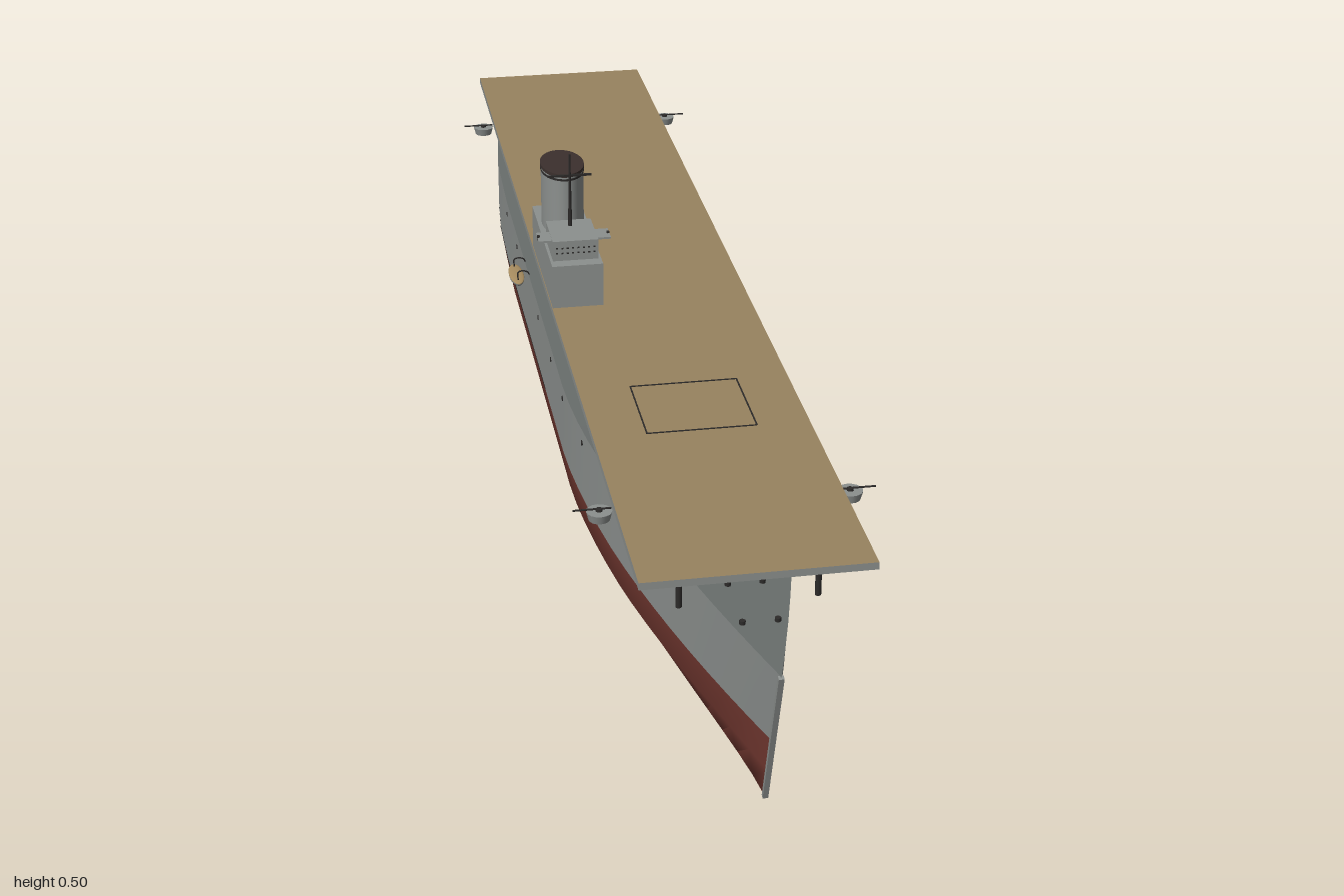
import * as THREE from 'three';
import { toCreasedNormals } from 'three/addons/utils/BufferGeometryUtils.js';

const mat = (name, color, side = THREE.FrontSide) => {
  const m = new THREE.MeshStandardMaterial({ color, side });
  m.name = name;
  return m;
};

export function createModel() {
  const grey = mat('hull grey', 0x8c908e);
  const deckGrey = mat('deck grey', 0x686d6b);
  const red = mat('hull red', 0x763a32);
  const wood = mat('deck wood', 0x98835f);
  const dark = mat('dark metal', 0x2c2a29);
  const funnelTop = mat('funnel soot', 0x3b302d);
  const boatTan = mat('boat tan', 0xa88d60);

  const ship = new THREE.Group();
  ship.name = 'ship';
  const add = (name, geo, m, x = 0, y = 0, z = 0, parent = ship) => {
    const mesh = new THREE.Mesh(geo, m);
    mesh.name = name;
    mesh.position.set(x, y, z);
    parent.add(mesh);
    return mesh;
  };
  // Box given by its extents
  const block = (name, m, x0, x1, y0, y1, z0, z1) =>
    add(name, new THREE.BoxGeometry(x1 - x0, y1 - y0, z1 - z0), m, (x0 + x1) / 2, (y0 + y1) / 2, (z0 + z1) / 2);

  // Surface through rows of points
  const loft = (rows, crease = 1) => {
    const n = rows[0].length, index = [];
    for (let i = 0; i < rows.length - 1; i++)
      for (let j = 0; j < n - 1; j++) {
        const a = i * n + j, c = a + n;
        index.push(a, a + 1, c, a + 1, c + 1, c);
      }
    const g = new THREE.BufferGeometry();
    g.setAttribute('position', new THREE.Float32BufferAttribute(rows.flat(2), 3));
    g.setIndex(index);
    return toCreasedNormals(g, crease);
  };

  // Hull form: fullness along the length and rise of the keel at the stern
  const fullness = (z) => {
    if (z > 0.2) return 1 - Math.pow((z - 0.2) / 0.8, 1.65);
    if (z < -0.5) return 1 - 0.39 * Math.pow((-0.5 - z) / 0.5, 2.3);
    return 1;
  };
  const keelRise = (z) => {
    if (z > -0.75) return 0;
    if (z > -0.87) return 0.05 * (-0.75 - z) / 0.12;
    return 0.05 + 0.035 * (-0.87 - z) / 0.13;
  };
  const topY = (z) => 0.215 + 0.008 * THREE.MathUtils.smoothstep(z, 0.3, 0.7);
  const point = (z, width, y, power = 1) => {
    const level = y < 0.105 ? keelRise(z) + y * (1 - keelRise(z) / 0.105) : y;
    const rake = Math.max(0, z - 0.5) * 0.14 * Math.max(0, 1 - y / 0.223);
    return [width * Math.pow(Math.max(0, fullness(z)), power), level, z - rake];
  };
  const flip = ([x, y, z]) => [-x, y, z];
  const stations = [-1, -0.97, -0.94, -0.87, -0.81, -0.75, -0.65, -0.5, -0.2, 0.2];
  for (let i = 1; i <= 14; i++) stations.push(0.2 + (0.8 * i) / 14);

  // Lower section from keel to waterline, then upper side
  const lower = (z) => [point(z, 0.105, 0.003, 1.3), point(z, 0.14, 0.05, 1.1), point(z, 0.149, 0.107)];
  const upper = (z) => [point(z, 0.149, 0.107), point(z, 0.149, topY(z))];
  const lowerRing = (z) => {
    const s = lower(z);
    return [...s.map(flip).reverse(), point(z, 0, 0), ...s];
  };
  const bottom = stations.map(lowerRing);
  add('lowerHull', loft(bottom, 1.1), red);
  add('hullSideLeft', loft(stations.map(upper)), grey);
  add('hullSideRight', loft(stations.map((z) => upper(z).map(flip).reverse())), grey);
  add('mainDeck', loft(stations.map((z) => [upper(z)[1], flip(upper(z)[1])])), deckGrey);

  // Flat transom
  const ring = [flip(upper(-1)[1]), ...lowerRing(-1), upper(-1)[1]];
  const tri = [];
  for (let j = 0; j < ring.length; j++) tri.push([0, 0.16, -1], ring[(j + 1) % ring.length], ring[j]);
  const transom = new THREE.BufferGeometry();
  transom.setAttribute('position', new THREE.Float32BufferAttribute(tri.flat(), 3));
  transom.computeVertexNormals();
  add('transom', transom, grey);

  // Raked stem bar
  const stem = add('stemBar', new THREE.BoxGeometry(0.007, 0.229, 0.006), grey, 0, 0.112, 0.964);
  stem.rotation.x = Math.atan2(0.07, 0.223);

  // Waterline stripe and portholes on both sides
  for (const s of [-1, 1]) {
    const rows = [-0.95, -0.85, -0.75, -0.65, -0.5, -0.2, 0].map((z) => {
      const row = [point(z, 0.1495, 0.107), point(z, 0.1495, 0.111)];
      return s > 0 ? row : row.map(flip).reverse();
    });
    add('waterlineStripe', loft(rows), dark);
    for (const z of [0.49, 0.34, 0.2, 0.07, -0.08, -0.36, -0.5]) {
      const p = add('porthole', new THREE.CylinderGeometry(0.004, 0.004, 0.002, 10), dark,
        s * 0.149 * fullness(z), 0.195, z);
      p.rotation.z = Math.PI / 2;
    }
  }

  // Hangar, flight deck and its posts
  block('hangar', grey, -0.125, 0.125, 0.21, 0.279, -0.79, 0.745);
  block('flightDeck', [grey, grey, wood, grey, grey, grey], -0.148, 0.148, 0.278, 0.288, -0.935, 0.872);
  for (const x of [-0.088, 0.088])
    for (const z of [-0.865, 0.812])
      add('deckPost', new THREE.CylinderGeometry(0.004, 0.004, 0.067, 10), dark, x, 0.2455, z);

  // Aircraft lift outline
  for (const s of [-1, 1]) {
    block('liftEdge', dark, s * 0.075 - 0.001, s * 0.075 + 0.001, 0.287, 0.289, 0.36, 0.5);
    block('liftEdge', dark, -0.075, 0.075, 0.287, 0.289, 0.429 + s * 0.07, 0.431 + s * 0.07);
  }

  // Island and bridge
  const ix = -0.109;
  block('islandBase', grey, -0.147, -0.071, 0.288, 0.355, -0.148, 0.088);
  block('bridge', grey, -0.143, -0.075, 0.355, 0.386, -0.012, 0.068);
  block('bridgeWing', grey, -0.163, -0.055, 0.382, 0.385, 0.027, 0.06);
  for (const s of [-1, 1]) block('wingLamp', dark, ix + s * 0.052 - 0.002, ix + s * 0.052 + 0.002, 0.38, 0.387, 0.04, 0.046);
  for (let i = 0; i < 8; i++)
    for (const y of [0.367, 0.375])
      block('bridgeWindow', dark, ix - 0.0295 + i * 0.008, ix - 0.0265 + i * 0.008, y - 0.001, y + 0.001, 0.067, 0.069);

  // Oval funnel with dark cap
  const oval = (name, m, r, y0, y1) => {
    const f = add(name, new THREE.CylinderGeometry(r, r, y1 - y0, 32), m, ix, (y0 + y1) / 2, -0.076);
    f.scale.z = 1.56;
  };
  oval('funnel', grey, 0.032, 0.355, 0.45);
  oval('funnelBand', dark, 0.0328, 0.443, 0.446);
  oval('funnelCap', funnelTop, 0.033, 0.449, 0.454);

  // Mast with yard
  add('mast', new THREE.CylinderGeometry(0.0015, 0.003, 0.115, 10), dark, ix, 0.4425, 0.01);
  block('yard', dark, -0.142, -0.076, 0.465, 0.468, 0.0085, 0.0115);

  // Gun tubs with guns, boats with davits
  for (const s of [-1, 1]) {
    for (const z of [0.662, -0.728]) {
      add('gunTub', new THREE.CylinderGeometry(0.017, 0.014, 0.012, 16), grey, s * 0.164, 0.264, z);
      add('gunMount', new THREE.CylinderGeometry(0.004, 0.005, 0.005, 10), dark, s * 0.164, 0.271, z);
      const gun = add('gunBarrel', new THREE.CylinderGeometry(0.0013, 0.0013, 0.05, 8), dark, s * 0.173, 0.273, z);
      gun.rotation.z = Math.PI / 2;
    }
    const hull = new THREE.SphereGeometry(1, 20, 8, 0, Math.PI * 2, Math.PI / 2, Math.PI / 2);
    add('boatHull', hull, grey, s * 0.166, 0.205, -0.226).scale.set(0.012, 0.01, 0.04);
    const cover = new THREE.SphereGeometry(1, 20, 6, 0, Math.PI * 2, 0, Math.PI / 2);
    add('boatCover', cover, boatTan, s * 0.166, 0.205, -0.226).scale.set(0.012, 0.003, 0.04);
    for (const z of [-0.252, -0.2]) {
      const path = new THREE.CatmullRomCurve3([[0.146, 0.2], [0.15, 0.219], [0.158, 0.222], [0.166, 0.22], [0.166, 0.206]]
        .map(([x, y]) => new THREE.Vector3(s * x, y, z)));
      add('davit', new THREE.TubeGeometry(path, 16, 0.0012, 6), dark);
    }
  }

  // Foredeck fittings
  for (const s of [-1, 1])
    for (const z of [0.79, 0.88])
      add('bollard', new THREE.CylinderGeometry(0.004, 0.004, 0.006, 10), dark, s * 0.022, 0.225, z);

  return ship;
}
